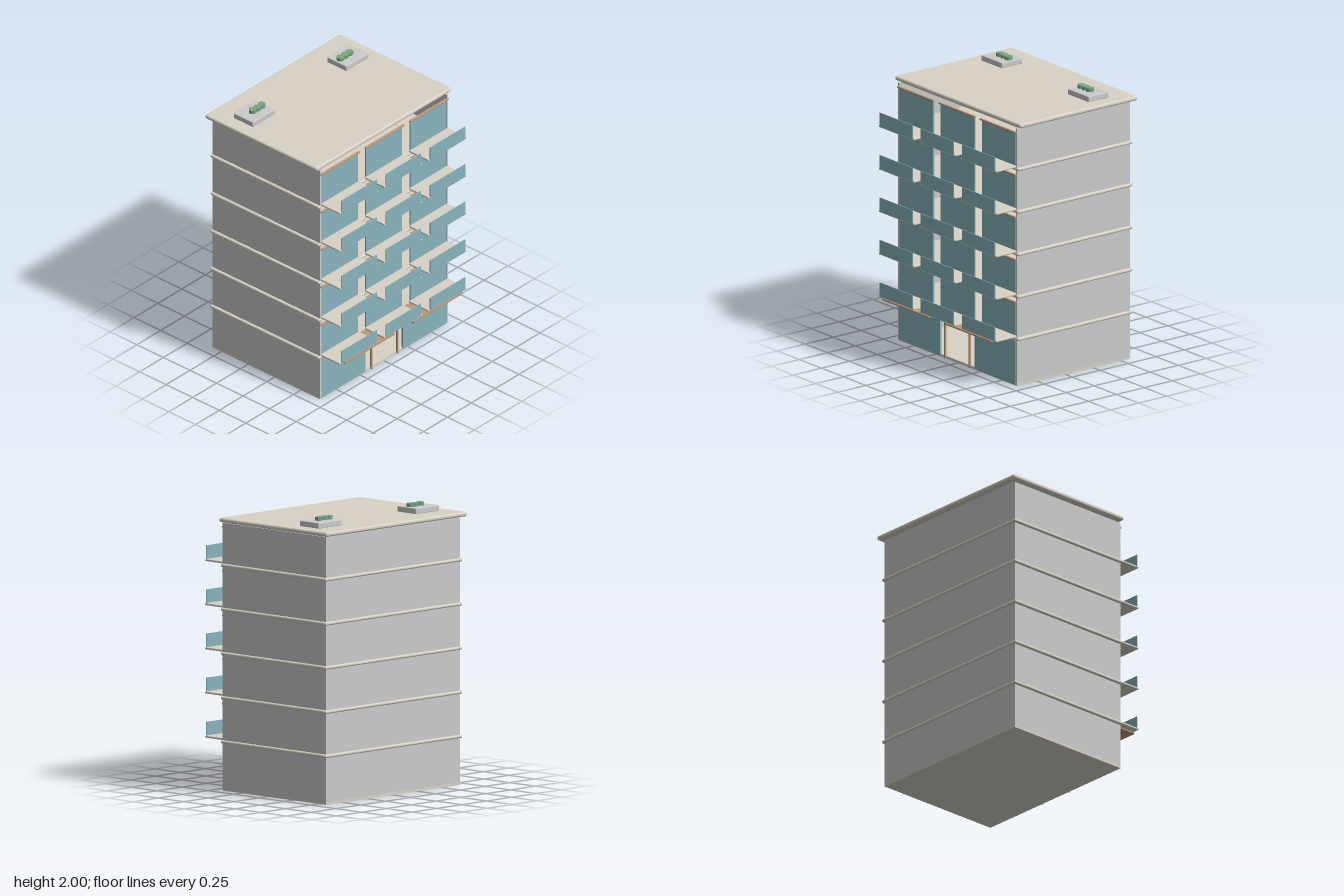
import * as THREE from 'three';
import { RoundedBoxGeometry } from 'three/addons/geometries/RoundedBoxGeometry.js';

const mat = (color) => new THREE.MeshStandardMaterial({ color });

export function createModel() {
  const model = new THREE.Group();
  model.name = 'apartmentBuilding';
  const wall = mat(0xcccccc), stone = mat(0xd8d3c5), glass = mat(0x88b4be);
  const wood = mat(0xbd9878), plant = mat(0x7aa680);

  // Box given by its limits; a radius rounds the edges
  function box(name, material, [x0, x1], [y0, y1], [z0, z1], radius = 0, parent = model) {
    const w = x1 - x0, h = y1 - y0, d = z1 - z0;
    const geo = radius ? new RoundedBoxGeometry(w, h, d, 3, radius) : new THREE.BoxGeometry(w, h, d);
    const mesh = new THREE.Mesh(geo, material);
    mesh.position.set((x0 + x1) / 2, (y0 + y1) / 2, (z0 + z1) / 2);
    mesh.name = name;
    parent.add(mesh);
    return mesh;
  }

  const FRONT = 0.435, BACK = -0.58, SIDE = 0.672, T = 0.014;
  const STEP = 0.3125, FIRST = 0.333;

  // Hollow storey: two side walls and a back wall
  function shell(parent, y0, y1) {
    box('leftWall', wall, [SIDE - T, SIDE], [y0, y1], [BACK, FRONT - 0.005], 0, parent);
    box('rightWall', wall, [-SIDE, T - SIDE], [y0, y1], [BACK, FRONT - 0.005], 0, parent);
    box('backWall', wall, [T - SIDE, SIDE - T], [y0, y1], [BACK, BACK + T], 0, parent);
  }

  // Ground floor with shop windows and an open lobby
  const ground = new THREE.Group();
  ground.name = 'groundFloor';
  model.add(ground);
  box('groundSlab', stone, [-SIDE, SIDE], [0, 0.02], [BACK, FRONT - 0.005], 0, ground);
  shell(ground, 0.005, FIRST);
  for (const s of [-1, 1]) {
    const x = s * 0.427;
    box('shopWindow', glass, [x - 0.232, x + 0.232], [0.005, FIRST], [0.42, 0.432], 0, ground);
    box('entrancePost', wood, [s * 0.137 - 0.006, s * 0.137 + 0.006], [0, FIRST], [0.425, 0.438], 0, ground);
    // Wooden canopy under the lowest balconies
    const c = s * 0.355;
    box('entranceCanopy', wood, [c - 0.258, c + 0.258], [0.345, 0.356], [0.42, 0.618], 0, ground);
  }
  box('receptionDesk', wood, [-0.24, 0.24], [0.02, 0.145], [-0.12, -0.03], 0, ground);

  // Five upper floors, each with three glazed balconies
  for (let i = 0; i < 5; i++) {
    const y = FIRST + i * STEP;
    const floor = new THREE.Group();
    floor.name = `upperFloor${i + 1}`;
    model.add(floor);
    box('floorSlab', stone, [-0.69, 0.69], [y, y + 0.024], [-0.592, FRONT], 0.011, floor);
    shell(floor, y + 0.02, y + (i === 4 ? 0.312 : STEP + 0.005));
    for (const x of [-0.465, 0, 0.465]) {
      box('window', glass, [x - 0.19, x + 0.19], [y + 0.02, y + 0.28], [0.42, 0.43], 0, floor);
      box('windowHeader', wood, [x - 0.203, x + 0.203], [y + 0.275, y + 0.288], [0.425, 0.443], 0.004, floor);
      box('balconySlab', stone, [x - 0.2, x + 0.2], [y + 0.022, y + 0.037], [0.425, 0.61], 0.005, floor);
      box('balconyGlass', glass, [x - 0.185, x + 0.185], [y + 0.03, y + 0.132], [0.607, 0.613], 0, floor);
    }
  }

  // Roof slab
  box('roof', stone, [-0.71, 0.71], [1.903, 1.935], [-0.62, 0.431], 0.014);
  box('roofCore', wall, [-0.66, 0.66], [1.89, 1.91], [BACK + 0.005, 0.4]);

  // Roof planters with clipped bushes
  for (const s of [-1, 1]) {
    const planter = new THREE.Group();
    planter.name = 'roofPlanter';
    model.add(planter);
    const x = s * 0.49;
    box('planterBox', wall, [x - 0.117, x + 0.117], [1.933, 1.975], [-0.442, -0.26], 0.006, planter);
    for (let k = -1; k <= 1; k++) {
      const bush = new THREE.Mesh(new THREE.CylinderGeometry(0.028, 0.028, 0.03, 14), plant);
      bush.position.set(s * 0.46 + k * 0.047, 1.985, -0.351);
      bush.name = 'bush';
      planter.add(bush);
    }
  }
  return model;
}
